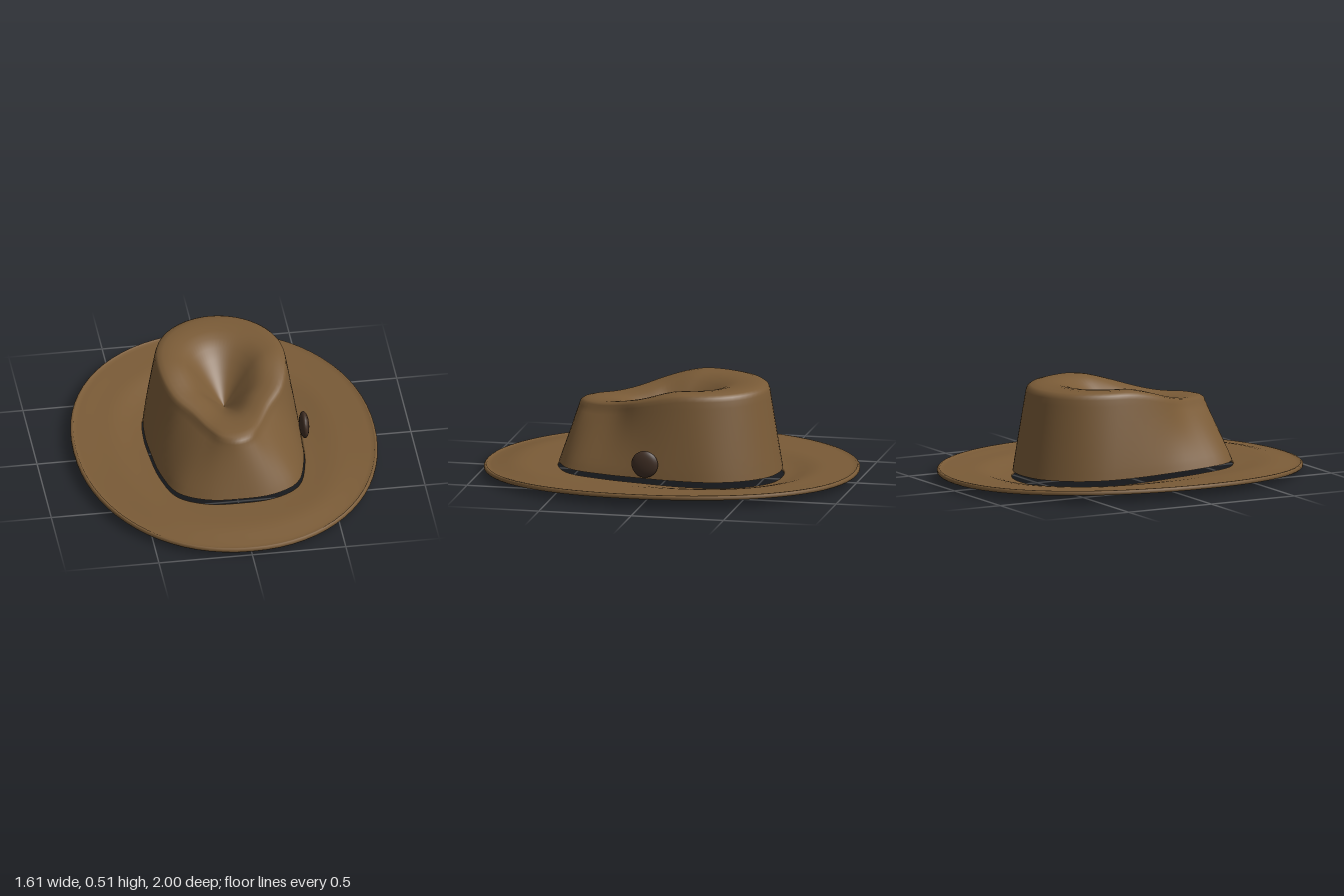
import * as THREE from 'three';

const N = 72; // columns around the hat, starting at the front and going towards +x

// Closed plan outline from half of its points (front to back), mirrored in x
function outline(half) {
  const other = half.slice(1, -1).reverse().map(([x, z]) => [-x, z]);
  const pts = [...half, ...other].map(([x, z]) => new THREE.Vector3(x, 0, z));
  const curve = new THREE.CatmullRomCurve3(pts, true);
  return Array.from({ length: N }, (_, j) => curve.getPoint(j / N));
}

// Skin rows of N points each; every row is a closed ring
function skin(rows, closed) {
  const position = rows.flat().flatMap((p) => [p.x, p.y, p.z]);
  const index = [];
  const count = closed ? rows.length : rows.length - 1;
  for (let i = 0; i < count; i++) {
    const n = (i + 1) % rows.length;
    for (let j = 0; j < N; j++) {
      const k = (j + 1) % N;
      const a = i * N + j, b = i * N + k, c = n * N + k, d = n * N + j;
      index.push(a, b, c, a, c, d);
    }
  }
  const g = new THREE.BufferGeometry();
  g.setAttribute('position', new THREE.Float32BufferAttribute(position, 3));
  g.setIndex(index);
  g.computeVertexNormals();
  return g;
}

const ring = (fn) => Array.from({ length: N }, (_, j) => fn(j, Math.cos((2 * Math.PI * j) / N)));
const smooth = (a, b, v) => THREE.MathUtils.smoothstep(v, a, b);
const lerp = THREE.MathUtils.lerp;

// Foot of the crown, and the pinched teardrop around its top
const base = outline([
  [0, 0.59], [0.18, 0.57], [0.32, 0.48], [0.385, 0.28], [0.405, 0.08],
  [0.41, -0.1], [0.385, -0.3], [0.3, -0.45], [0.16, -0.56], [0, -0.59],
]);
const top = outline([
  [0, 0.5], [0.08, 0.47], [0.14, 0.38], [0.21, 0.25], [0.3, 0.12],
  [0.345, -0.06], [0.335, -0.24], [0.265, -0.39], [0.145, -0.49], [0, -0.525],
]);

function crownGeometry() {
  const rimHeight = (z) => 0.405 + 0.11 * (1 - smooth(-0.18, 0.42, z));
  const rows = [];
  // Side wall, leaning in towards the top
  const steps = 12;
  for (let i = 0; i < steps; i++) {
    const v = i / steps;
    rows.push(ring((j, c) => new THREE.Vector3(
      lerp(base[j].x, top[j].x, v ** 1.2),
      lerp(0.062 + 0.016 * c, rimHeight(top[j].z) - 0.04, v),
      lerp(base[j].z, top[j].z, v),
    )));
  }
  // Rounded shoulder and dented top: [radius share, drop, dent share]
  const dent = 0.27;
  const profile = [
    [1, 0.04, 0], [0.985, 0.02, 0], [0.95, 0.008, 0], [0.88, 0, 0], [0.78, 0, 0],
    [0.68, 0, 0.02], [0.58, 0, 0.07], [0.48, 0, 0.18], [0.38, 0, 0.34],
    [0.28, 0, 0.52], [0.18, 0, 0.7], [0.09, 0, 0.87], [0, 0, 1],
  ];
  for (const [t, drop, g] of profile) {
    rows.push(ring((j) => {
      const h = rimHeight(top[j].z);
      return new THREE.Vector3(top[j].x * t, h - drop - g * (h - dent), top[j].z * t);
    }));
  }
  return skin(rows, false);
}

function brimGeometry() {
  const power = (v, e) => Math.sign(v) * Math.abs(v) ** e;
  // Upper half of the section, outer edge to inner edge: [share of width, half thickness]
  const half = [
    [1, 0.006], [0.985, 0.012], [0.962, 0.012], [0.955, 0.007], [0.9, 0.007],
    [0.8, 0.007], [0.7, 0.007], [0.6, 0.007], [0.5, 0.007], [0.4, 0.007],
    [0.3, 0.007], [0.2, 0.007], [0.1, 0.007], [0.02, 0.007], [0, 0.005],
  ];
  const section = [...half, ...half.map(([p, t]) => [p, -t]).reverse()];
  const rows = section.map(([p, t]) => ring((j, c) => {
    const s = Math.sin((2 * Math.PI * j) / N);
    const inner = 0.03 + 0.022 * c;
    const middle = 0.052 + 0.006 * c;
    const outer = 0.057 - 0.018 * c * c - 0.009 * c;
    const y = p < 0.5
      ? lerp(inner, middle, smooth(0, 0.5, p))
      : lerp(middle, outer, smooth(0.5, 1, p));
    return new THREE.Vector3(
      lerp(base[j].x * 1.01, 0.805 * power(s, 0.95), p),
      y + t,
      lerp(base[j].z * 1.01, power(c, 0.95), p),
    );
  }));
  return skin(rows, true);
}

export function createModel() {
  const felt = new THREE.MeshStandardMaterial({ color: 0x7a5b37, side: THREE.DoubleSide });
  felt.name = 'brown felt';
  const dark = new THREE.MeshStandardMaterial({ color: 0x3f2e24 });
  dark.name = 'dark brown';

  const hat = new THREE.Group();
  hat.name = 'hat';
  const add = (name, geometry, material) => {
    const mesh = new THREE.Mesh(geometry, material);
    mesh.name = name;
    hat.add(mesh);
    return mesh;
  };

  add('crown', crownGeometry(), felt);
  add('brim', brimGeometry(), felt);

  // Flattened button on the side of the crown
  const button = add('button', new THREE.SphereGeometry(0.072, 20, 14), dark);
  button.scale.x = 0.36;
  button.position.set(0.42, 0.145, 0.055);
  return hat;
}
